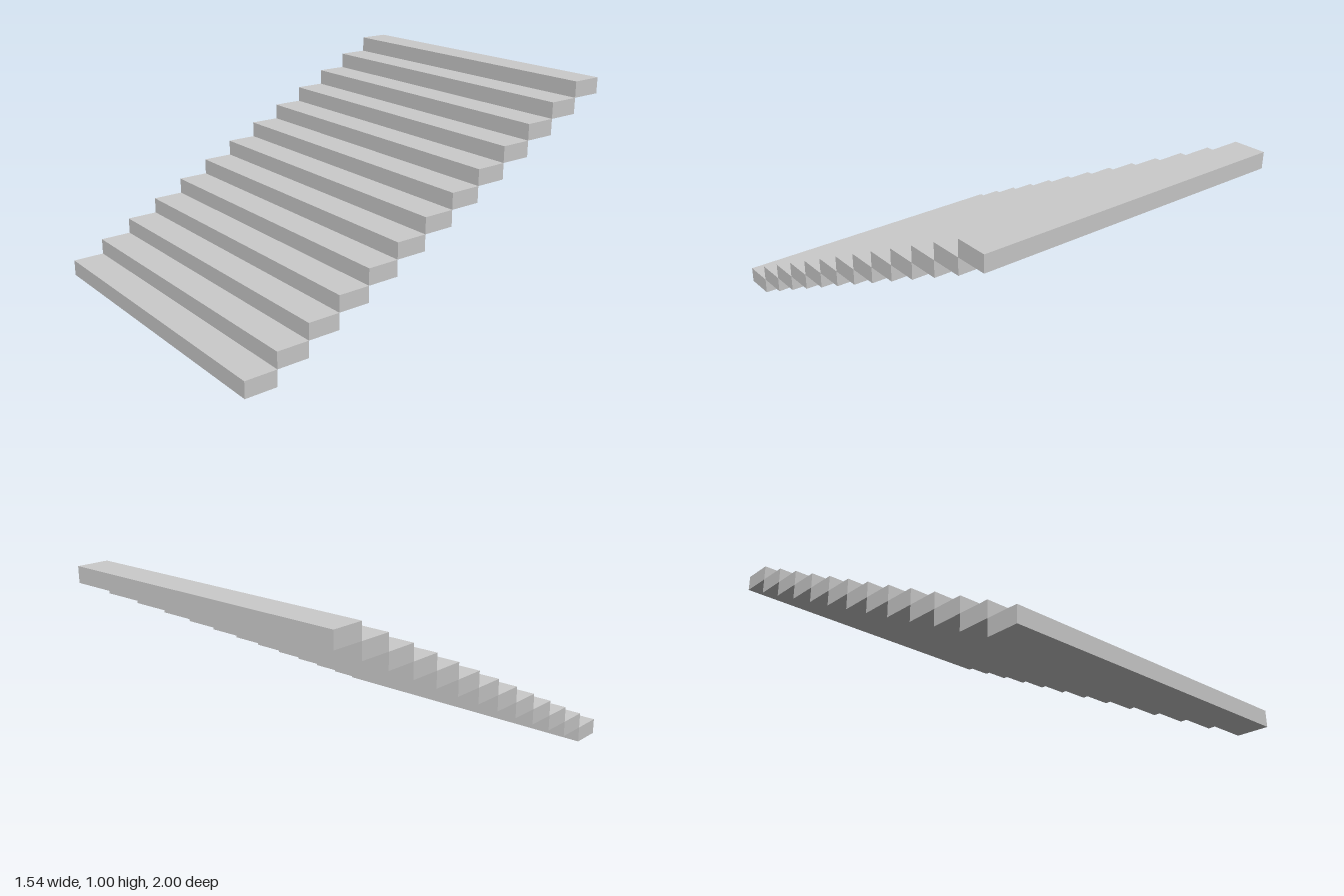
import * as THREE from 'three';

export function createModel() {
  const group = new THREE.Group();
  group.name = 'staircase';
  const material = new THREE.MeshStandardMaterial({ color: 0xcccccc, flatShading: true });

  const count = 13;
  const depth = 2 / count;
  const height = 1 / count;
  const width = 20 / 13;
  const geometry = new THREE.BoxGeometry(width, height, depth);

  // Solid steps meeting edge to edge, rising from the front to the back
  for (let i = 0; i < count; i++) {
    const step = new THREE.Mesh(geometry, material);
    step.name = `step${i + 1}`;
    step.position.set(0, (i + 0.5) * height, 1 - (i + 0.5) * depth);
    group.add(step);
  }
  return group;
}
